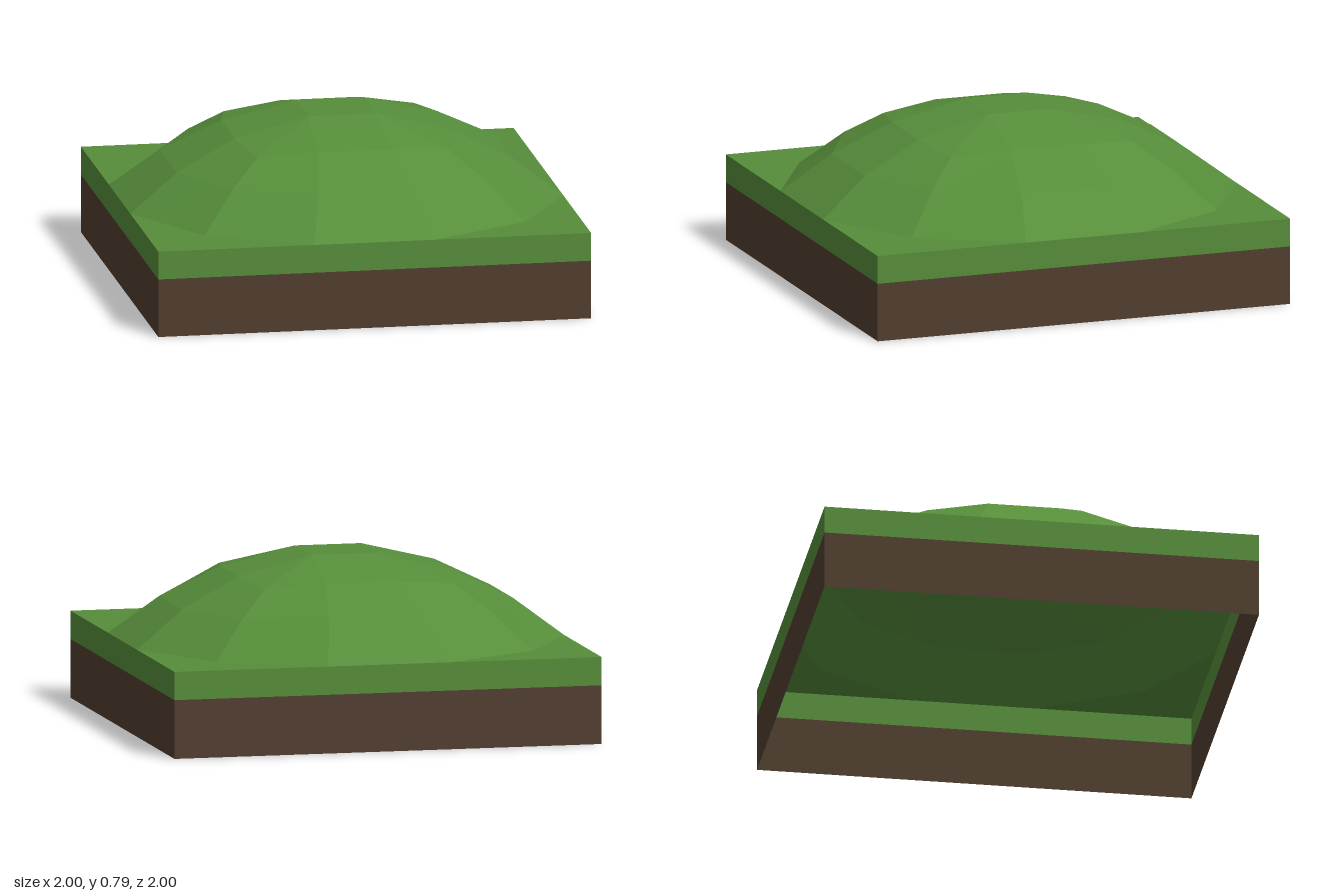
import * as THREE from 'three';

const TOP = 0.4, SOIL = 0.27;

// Flat-shaded mesh from a list of triangles (corner points)
function facets(name, triangles, material) {
  const geometry = new THREE.BufferGeometry().setFromPoints(triangles.flat());
  geometry.computeVertexNormals();
  const mesh = new THREE.Mesh(geometry, material);
  mesh.name = name;
  return mesh;
}

// Twelve-point ring with square symmetry: an edge point, a diagonal point, an edge point per quarter
function ring([along, across, edgeY, diagonal, diagonalY]) {
  const points = [];
  for (let q = 0; q < 4; q++) {
    for (const [x, y, z] of [[along, edgeY, across], [diagonal, diagonalY, diagonal], [across, edgeY, along]]) {
      points.push(new THREE.Vector3(x, y, z).applyAxisAngle(new THREE.Vector3(0, 1, 0), -q * Math.PI / 2));
    }
  }
  return points;
}

export function createModel() {
  const grass = new THREE.MeshStandardMaterial({ color: 0x568d3a, side: THREE.DoubleSide });
  grass.name = 'grass green';
  const soil = new THREE.MeshStandardMaterial({ color: 0x513e30, side: THREE.DoubleSide });
  soil.name = 'soil brown';
  const model = new THREE.Group();
  model.name = 'hillTile';

  // Rounded hill, from the flat summit down to the rim
  const rings = [
    [0.155, 0.155, 0.79, 0.155, 0.79],
    [0.5, 0.17, 0.705, 0.44, 0.68],
    [0.775, 0.22, 0.57, 0.58, 0.57],
    [1, 0.28, TOP, 0.74, TOP],
  ].map(ring);
  const summit = rings[0];
  const hill = [[summit[0], summit[9], summit[6]], [summit[0], summit[6], summit[3]]];
  for (let r = 0; r < 3; r++) {
    for (let i = 0; i < 12; i++) {
      const j = (i + 1) % 12, a = rings[r], b = rings[r + 1];
      hill.push([a[i], b[j], b[i]]);
      if (a[i].distanceTo(a[j]) > 0.01) hill.push([a[i], a[j], b[j]]);
    }
  }
  model.add(facets('hill', hill, grass));

  // Flat ground in the four corners around the rim
  const rim = rings[3];
  const ground = [];
  for (let q = 0; q < 4; q++) {
    const [a, d, b] = rim.slice(q * 3, q * 3 + 3);
    const corner = new THREE.Vector3(Math.sign(d.x), TOP, Math.sign(d.z));
    ground.push([a, d, corner], [d, b, corner]);
  }
  model.add(facets('cornerGround', ground, grass));

  // Open-bottomed side walls: a soil band below a grass band
  for (let q = 0; q < 4; q++) {
    for (const [name, low, high, material] of [['soilWall', 0, SOIL, soil], ['grassWall', SOIL, TOP, grass]]) {
      const geometry = new THREE.PlaneGeometry(2, high - low);
      geometry.translate(0, (low + high) / 2, 1);
      const wall = new THREE.Mesh(geometry, material);
      wall.rotation.y = q * Math.PI / 2;
      wall.name = name;
      model.add(wall);
    }
  }
  return model;
}
